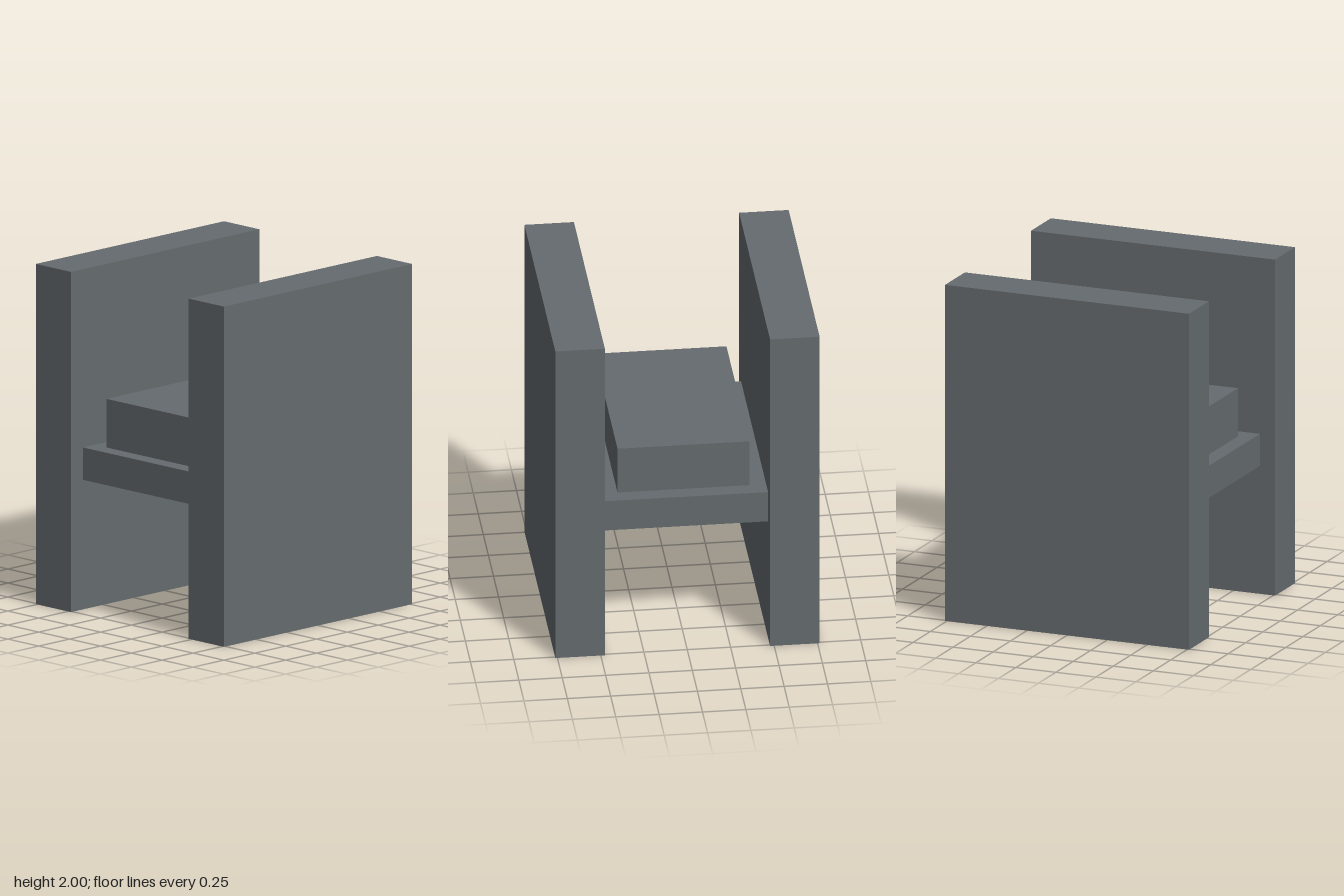
import * as THREE from 'three';

// The whole model sits on a regular grid: 21 units tall, scaled to 2.
const U = 2 / 21;

export function createModel() {
  const slate = new THREE.MeshStandardMaterial({ color: 0x656b6f, side: THREE.DoubleSide });
  slate.name = 'slate grey';

  const model = new THREE.Group();
  model.name = 'anvilStand';

  // Box given in grid units, standing on height y
  function addBox(name, w, h, d, y, z = 0, openBottom = false) {
    const geometry = new THREE.BoxGeometry(w * U, h * U, d * U);
    if (openBottom) {
      // Leave out the downward face (the fourth of six)
      const index = Array.from(geometry.index.array);
      index.splice(18, 6);
      geometry.setIndex(index);
      geometry.clearGroups();
    }
    const mesh = new THREE.Mesh(geometry, slate);
    mesh.name = name;
    mesh.position.set(0, (y + h / 2) * U, z * U);
    model.add(mesh);
  }

  // Upright slabs, hollow underneath
  addBox('frontSlab', 16, 21, 3, 0, 6.5, true);
  addBox('backSlab', 16, 21, 3, 0, -6.5, true);

  // Shelf spanning the slabs, with a raised block on it
  addBox('shelf', 14, 2, 10, 8);
  addBox('raisedBlock', 12, 3, 8, 10);

  return model;
}
